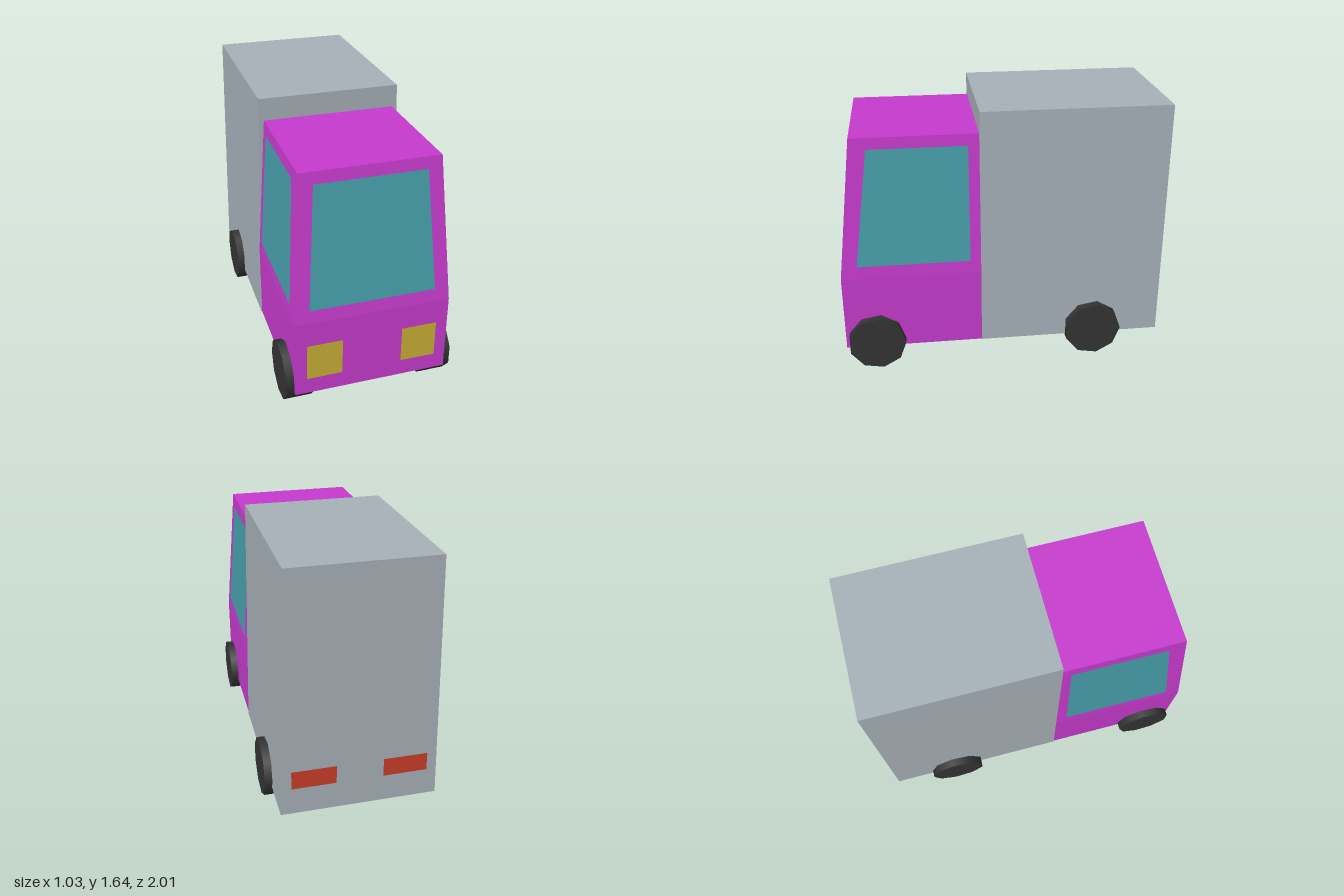
import * as THREE from 'three';

const mat = (name, color) => {
  const m = new THREE.MeshStandardMaterial({ color });
  m.name = name;
  return m;
};

// Flat-faced geometry from planar quads, corners counter-clockwise from outside
function quads(list) {
  const pos = [];
  for (const [a, b, c, d] of list) pos.push(...a, ...b, ...c, ...a, ...c, ...d);
  const geo = new THREE.BufferGeometry();
  geo.setAttribute('position', new THREE.Float32BufferAttribute(pos, 3));
  geo.computeVertexNormals();
  return geo;
}

// Closed body through rectangular rings [y, halfWidth, zFront, zBack], bottom to top
function loft(levels) {
  const rings = levels.map(([y, w, f, b]) => [[w, y, f], [w, y, b], [-w, y, b], [-w, y, f]]);
  const faces = [[...rings[0]].reverse(), rings[rings.length - 1]];
  for (let k = 0; k + 1 < rings.length; k++) {
    for (let i = 0; i < 4; i++) {
      const j = (i + 1) % 4;
      faces.push([rings[k][i], rings[k][j], rings[k + 1][j], rings[k + 1][i]]);
    }
  }
  return quads(faces);
}

export function createModel() {
  const model = new THREE.Group();
  model.name = 'van';

  const paint = mat('magentaPaint', 0xc73bce);
  const boxGrey = mat('boxGrey', 0xa6b1b8);
  const glass = mat('tealGlass', 0x479fab);
  const yellow = mat('headlightYellow', 0xcab035);
  const red = mat('tailLightRed', 0xc93d29);
  const rubber = mat('darkRubber', 0x343434);

  const add = (name, geo, material) => {
    const mesh = new THREE.Mesh(geo, material);
    mesh.name = name;
    model.add(mesh);
    return mesh;
  };

  // Main bodies
  add('cab', loft([[0.13, 0.465, 1, 0.145], [0.62, 0.465, 1, 0.145], [1.5, 0.405, 0.895, 0.145]]), paint);
  add('cargoBox', loft([[0.13, 0.47, 0.145, -1], [1.637, 0.434, 0.145, -1]]), boxGrey);

  // Windows lie just proud of the sloping cab walls
  const gap = 0.003, y0 = 0.7, y1 = 1.43;
  const slope = (y) => (y - 0.62) / 0.88;
  const frontZ = (y) => 1 - 0.105 * slope(y) + gap;
  const sideX = (y) => 0.465 - 0.06 * slope(y) + gap;
  add('windshield', quads([[
    [-0.375, y0, frontZ(y0)], [0.375, y0, frontZ(y0)],
    [0.325, y1, frontZ(y1)], [-0.325, y1, frontZ(y1)],
  ]]), glass);

  for (const s of [1, -1]) {
    const side = s > 0 ? 'left' : 'right';
    const window = [
      [s * sideX(y0), y0, 0.9], [s * sideX(y0), y0, 0.21],
      [s * sideX(y1), y1, 0.21], [s * sideX(y1), y1, 0.8],
    ];
    add(side + 'SideWindow', quads([s > 0 ? window : window.reverse()]), glass);

    // Lights
    add(side + 'Headlight', new THREE.PlaneGeometry(0.214, 0.232), yellow)
      .position.set(s * 0.288, 0.351, 1 + gap);
    const tail = add(side + 'TailLight', new THREE.PlaneGeometry(0.265, 0.115), red);
    tail.position.set(s * 0.273, 0.358, -1 - gap);
    tail.rotation.y = Math.PI;

    // Nine-sided wheels
    for (const [end, z] of [['Front', 0.806], ['Rear', -0.567]]) {
      const wheel = add(side + end + 'Wheel',
        new THREE.CylinderGeometry(0.18, 0.18, 0.174, 9, 1, false, Math.PI), rubber);
      wheel.rotation.z = Math.PI / 2;
      wheel.position.set(s * 0.427, 0.1775, z);
    }
  }
  return model;
}
